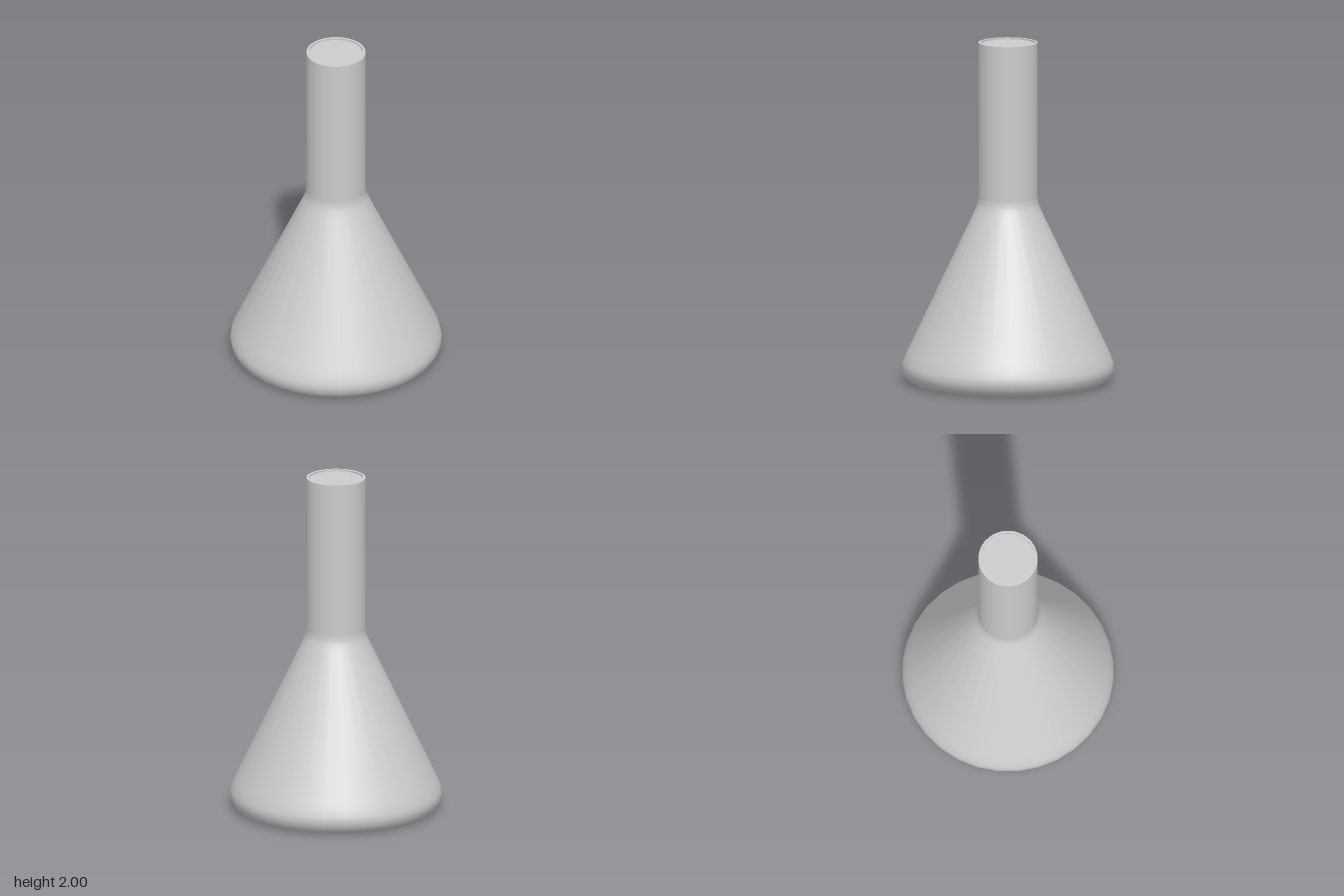
import * as THREE from 'three';

const SEGMENTS = 32;
const material = new THREE.MeshStandardMaterial({ color: 0xcccccc });

// Revolves a list of [radius, height] points around the y axis
function lathe(name, points) {
  const profile = points.map(([r, y]) => new THREE.Vector2(r, y));
  const mesh = new THREE.Mesh(new THREE.LatheGeometry(profile, SEGMENTS), material);
  mesh.name = name;
  return mesh;
}

// Flat disc facing up or down
function disc(name, radius, y, up) {
  const geometry = new THREE.CircleGeometry(radius, SEGMENTS);
  geometry.rotateX(up ? -Math.PI / 2 : Math.PI / 2);
  const mesh = new THREE.Mesh(geometry, material);
  mesh.position.y = y;
  mesh.name = name;
  return mesh;
}

export function createModel() {
  const group = new THREE.Group();
  group.name = 'conicalFlask';

  const neckR = 0.173, innerR = 0.158, fillY = 1.99;

  // Rounded foot, conical body and softened shoulder
  group.add(lathe('body', [
    [0.535, 0], [0.565, 0.007], [0.592, 0.025], [0.61, 0.053],
    [0.617, 0.085], [0.612, 0.115], [0.597, 0.155], [0.58, 0.192],
    [0.2, 0.995], [0.183, 1.033], [0.175, 1.058], [neckR, 1.085],
  ]));
  group.add(disc('base', 0.535, 0, false));

  // Straight neck with a thin rim
  group.add(lathe('neck', [[neckR, 1.085], [neckR, 2]]));
  group.add(lathe('rim', [[neckR, 2], [innerR, 2]]));
  group.add(lathe('innerWall', [[innerR, 2], [innerR, fillY]]));

  // Closing surface just below the rim
  group.add(disc('mouthSurface', innerR, fillY, true));

  return group;
}
